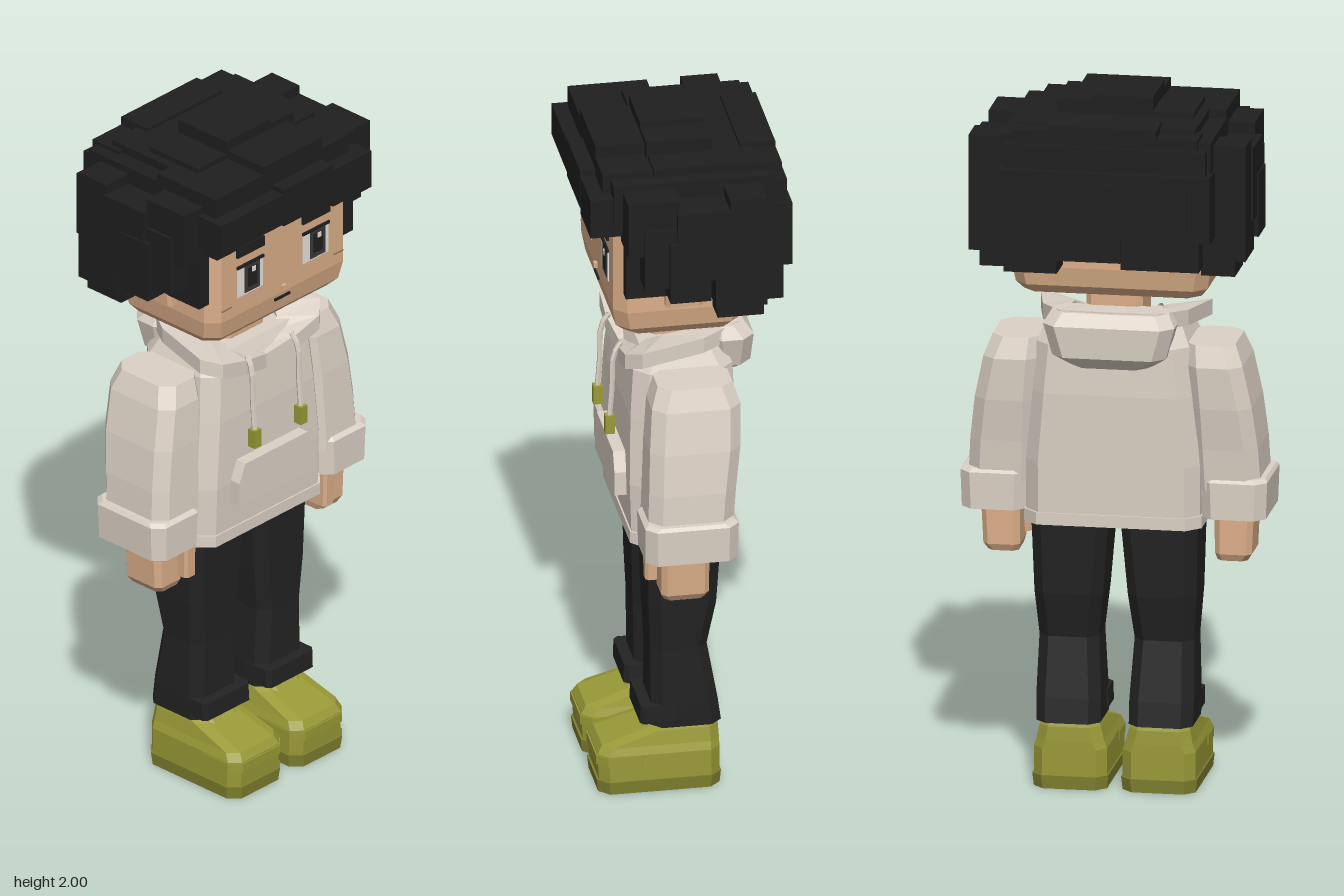
import * as THREE from 'three';

const mat = (name, color) => {
  const m = new THREE.MeshStandardMaterial({ color });
  m.name = name;
  m.flatShading = true;
  return m;
};

// Joins equal-length loops of [x, y, z] points into a faceted skin.
function skin(loops, closed = false) {
  const n = loops[0].length, pos = loops.flat(2), idx = [];
  const last = closed ? loops.length : loops.length - 1;
  for (let i = 0; i < last; i++) {
    const lo = i * n, up = ((i + 1) % loops.length) * n;
    for (let k = 0; k < n; k++) {
      const k2 = (k + 1) % n;
      idx.push(lo + k, lo + k2, up + k2, lo + k, up + k2, up + k);
    }
  }
  if (!closed) {
    const t = (loops.length - 1) * n;
    for (let k = 1; k < n - 1; k++) idx.push(0, k + 1, k, t, t + k, t + k + 1);
  }
  const g = new THREE.BufferGeometry();
  g.setAttribute('position', new THREE.Float32BufferAttribute(pos, 3));
  g.setIndex(idx);
  const flat = g.toNonIndexed();
  flat.computeVertexNormals();
  return flat;
}

// Stacked chamfered rectangles; rows are [y, x0, x1, z0, z1], s mirrors in x.
function loft(rows, c = 0.03, s = 1) {
  return skin(rows.map(([y, a, b, z0, z1]) => {
    const x0 = s > 0 ? a : -b, x1 = s > 0 ? b : -a;
    return [[x0 + c, y, z1], [x1 - c, y, z1], [x1, y, z1 - c], [x1, y, z0 + c],
      [x1 - c, y, z0], [x0 + c, y, z0], [x0, y, z0 + c], [x0, y, z1 - c]];
  }));
}

function block(x0, x1, y0, y1, z0, z1) {
  return new THREE.BoxGeometry(x1 - x0, y1 - y0, z1 - z0)
    .translate((x0 + x1) / 2, (y0 + y1) / 2, (z0 + z1) / 2);
}

export function createModel() {
  const root = new THREE.Group();
  root.name = 'blockyFigure';
  const skinTone = mat('skin', 0xdbae88), cloth = mat('hoodie', 0xdcd1c5);
  const hairMat = mat('hair', 0x1f1f1f), pants = mat('trousers', 0x232324);
  const olive = mat('oliveShoe', 0x9a9a38), sole = mat('sole', 0x828230);
  const white = mat('eyeWhite', 0xe6e2de), iris = mat('iris', 0x3a3838);
  const line = mat('faceLine', 0x9a7458);
  const add = (name, geo, material, parent = root) => {
    const m = new THREE.Mesh(geo, material);
    m.name = name;
    parent.add(m);
    return m;
  };

  // Head and neck
  add('head', loft([[1.44, -0.25, 0.25, -0.13, 0.18], [1.465, -0.27, 0.27, -0.15, 0.205],
    [1.52, -0.28, 0.28, -0.16, 0.215], [1.86, -0.28, 0.28, -0.16, 0.215]], 0.035), skinTone);
  add('neck', loft([[1.3, -0.08, 0.08, -0.08, 0.08], [1.47, -0.08, 0.08, -0.08, 0.08]], 0.015), skinTone);
  add('nose', block(-0.008, 0.008, 1.53, 1.545, 0.21, 0.225), skinTone);
  add('mouth', block(-0.032, 0.03, 1.503, 1.51, 0.213, 0.218), hairMat);

  // Face details, pupils looking slightly to one side
  for (const s of [-1, 1]) {
    const cx = s * 0.132, px = cx + 0.008;
    add('eyeWhite', block(cx - 0.052, cx + 0.052, 1.575, 1.67, 0.212, 0.217), white);
    add('iris', block(px - 0.03, px + 0.03, 1.58, 1.665, 0.213, 0.219), iris);
    add('pupil', block(px - 0.018, px + 0.018, 1.595, 1.655, 0.214, 0.221), hairMat);
    add('eyeGlint', block(px - 0.004, px + 0.01, 1.64, 1.655, 0.215, 0.223), white);
    add('upperLid', block(cx - 0.054, cx + 0.054, 1.666, 1.674, 0.213, 0.221), hairMat);
    add('eyebrow', block(cx - 0.055, cx + 0.055, 1.703, 1.733, 0.21, 0.222), hairMat);
    add('cheekMark', block(s * 0.225 - 0.02, s * 0.225 + 0.02, 1.553, 1.557, 0.213, 0.217), line);
    add('ear', loft([[1.54, 0.26, 0.305, -0.03, 0.075], [1.68, 0.26, 0.315, -0.03, 0.075]], 0.01, s), skinTone);
  }

  // Hair built from overlapping blocks: [x0, x1, y0, y1, z0, z1]
  const hair = new THREE.Group();
  hair.name = 'hair';
  root.add(hair);
  const crown = [
    [-0.3, 0.29, 1.8, 1.92, -0.24, 0.22], [-0.28, 0.27, 1.68, 1.9, -0.25, -0.1],
    [-0.225, -0.1, 1.85, 1.96, -0.08, 0.105], [-0.11, 0.065, 1.85, 2.0, -0.08, 0.105],
    [0.065, 0.16, 1.85, 1.985, -0.08, 0.105], [-0.3, -0.105, 1.85, 1.945, 0.02, 0.243],
    [-0.105, 0.13, 1.83, 1.97, 0.08, 0.243], [0.13, 0.24, 1.83, 1.935, -0.025, 0.243],
    [-0.265, -0.15, 1.85, 1.93, -0.26, -0.16], [-0.15, 0.155, 1.83, 1.955, -0.26, -0.16],
    [0.155, 0.255, 1.83, 1.94, -0.26, -0.1], [-0.25, 0.25, 1.85, 1.945, -0.2, 0.1],
  ];
  const fringe = [
    [-0.32, -0.07, 1.79, 1.885, 0.15, 0.285], [-0.07, 0.13, 1.785, 1.9, 0.14, 0.287],
    [0.13, 0.285, 1.765, 1.88, 0.14, 0.285], [-0.3, -0.2, 1.755, 1.83, 0.15, 0.25],
    [0.05, 0.16, 1.775, 1.85, 0.17, 0.25],
  ];
  const backHair = [
    [-0.305, 0.295, 1.64, 1.83, -0.283, -0.14], [-0.24, 0.135, 1.68, 1.8, -0.29, -0.2],
    [-0.27, -0.05, 1.55, 1.7, -0.262, -0.14], [-0.05, 0.13, 1.57, 1.7, -0.27, -0.14],
    [0.13, 0.28, 1.53, 1.7, -0.26, -0.13], [-0.29, 0.28, 1.8, 1.9, -0.27, -0.15],
  ];
  const sideHair = [
    [0.26, 0.375, 1.74, 1.905, 0.05, 0.195], [0.27, 0.395, 1.66, 1.87, -0.1, 0.058],
    [0.265, 0.39, 1.57, 1.82, -0.195, -0.05], [0.27, 0.39, 1.8, 1.9, -0.195, -0.09],
    [0.27, 0.4, 1.6, 1.78, -0.035, 0.08], [0.27, 0.385, 1.64, 1.82, 0.04, 0.15],
    [0.265, 0.31, 1.58, 1.78, 0.07, 0.19], [0.265, 0.36, 1.525, 1.66, -0.19, -0.06],
  ];
  for (const b of [...crown, ...fringe, ...backHair]) add('hairBlock', block(...b), hairMat, hair);
  for (const [a, b, ...r] of sideHair) {
    add('sideHairBlock', block(a, b, ...r), hairMat, hair);
    add('sideHairBlock', block(-b, -a, ...r), hairMat, hair);
  }

  // Hoodie body with hem and front pocket
  add('hoodieBody', loft([[0.79, -0.245, 0.245, -0.13, 0.155], [0.95, -0.245, 0.245, -0.135, 0.16],
    [1.15, -0.228, 0.228, -0.14, 0.155], [1.29, -0.215, 0.215, -0.135, 0.145],
    [1.345, -0.19, 0.19, -0.11, 0.12]], 0.04), cloth);
  add('hoodieHem', loft([[0.77, -0.25, 0.25, -0.135, 0.16], [0.805, -0.25, 0.25, -0.135, 0.16]], 0.04), cloth);
  const pocketShape = new THREE.Shape([[-0.15, 0.89], [0.15, 0.89], [0.15, 0.96], [0.125, 1.015],
    [-0.125, 1.015], [-0.15, 0.96]].map(p => new THREE.Vector2(...p)));
  add('pocket', new THREE.ExtrudeGeometry(pocketShape, { depth: 0.045, bevelEnabled: false })
    .translate(0, 0, 0.148), cloth);

  // Hood collar: a flat band swept round the neck, rising to the back
  const half = [[0, 1.30, 0.155, 0, 0.1], [0.1, 1.325, 0.172, 0.07, 0.105], [0.195, 1.35, 0.172, 0.11, 0.09],
    [0.242, 1.37, 0.13, 0.13, 0.05], [0.205, 1.385, -0.05, 0.13, -0.06],
    [0.14, 1.398, -0.16, 0.09, -0.1], [0, 1.4, -0.17, 0, -0.1]];
  const ring = [...half, ...half.slice(1, -1).reverse().map(([x, y, z, ix, iz]) => [-x, y, z, -ix, iz])];
  add('hoodCollar', skin(ring.map(([x, y, z, ix, iz]) =>
    [[x, y - 0.045, z], [ix, y - 0.045, iz], [ix, y, iz], [x, y, z]]), true), cloth)
    .material.side = THREE.DoubleSide;
  add('hoodSack', loft([[1.235, -0.11, 0.11, -0.165, -0.08], [1.27, -0.16, 0.16, -0.195, -0.08],
    [1.36, -0.185, 0.185, -0.2, -0.07], [1.395, -0.165, 0.165, -0.175, -0.07]], 0.035), cloth);

  for (const s of [-1, 1]) {
    // Drawstrings with tips
    const cord = new THREE.CatmullRomCurve3([[0.09, 1.335, 0.165], [0.093, 1.3, 0.185],
      [0.093, 1.2, 0.19], [0.093, 1.11, 0.197]].map(([x, y, z]) => new THREE.Vector3(s * x, y, z)));
    add('drawstring', new THREE.TubeGeometry(cord, 8, 0.008, 6), cloth);
    add('drawstringTip', block(s * 0.093 - 0.013, s * 0.093 + 0.013, 1.06, 1.115, 0.184, 0.21), olive);

    // Arm, cuff and hand
    add('sleeve', loft([[0.88, 0.225, 0.412, -0.1, 0.14], [1.0, 0.22, 0.405, -0.11, 0.135],
      [1.12, 0.215, 0.39, -0.125, 0.13], [1.24, 0.205, 0.365, -0.13, 0.12],
      [1.3, 0.2, 0.342, -0.11, 0.1]], 0.035, s), cloth);
    add('cuff', loft([[0.8, 0.248, 0.428, -0.11, 0.15], [0.905, 0.245, 0.432, -0.112, 0.152],
      [0.915, 0.25, 0.425, -0.1, 0.14]], 0.03, s), cloth);
    add('hand', loft([[0.66, 0.28, 0.365, -0.025, 0.09], [0.68, 0.275, 0.378, -0.035, 0.1],
      [0.82, 0.275, 0.385, -0.035, 0.1]], 0.015, s), skinTone);
    add('thumb', loft([[0.695, 0.258, 0.3, 0.06, 0.132], [0.81, 0.258, 0.305, 0.05, 0.135]], 0.008, s), skinTone);

    // Trouser leg with turned-up front
    add('trouserLeg', loft([[0.19, 0.04, 0.22, -0.1, 0.1], [0.26, 0.04, 0.222, -0.09, 0.098],
      [0.43, 0.05, 0.218, -0.06, 0.1], [0.56, 0.035, 0.228, -0.085, 0.105],
      [0.8, 0.015, 0.235, -0.1, 0.11]], 0.03, s), pants);
    add('trouserFold', loft([[0.207, 0.034, 0.222, 0.02, 0.132], [0.26, 0.036, 0.222, 0.02, 0.13]], 0.012, s), pants);

    // Shoe on a slightly wider sole
    add('sole', loft([[0, 0.022, 0.228, -0.095, 0.248], [0.038, 0.018, 0.232, -0.098, 0.252]], 0.03, s), sole);
    add('shoe', loft([[0.038, 0.022, 0.228, -0.094, 0.246], [0.115, 0.022, 0.228, -0.094, 0.25],
      [0.138, 0.03, 0.22, -0.094, 0.236], [0.178, 0.04, 0.212, -0.092, 0.11],
      [0.196, 0.046, 0.206, -0.086, 0.07]], 0.028, s), olive);
    add('toeBand', loft([[0.085, 0.02, 0.23, 0.1, 0.254], [0.112, 0.02, 0.23, 0.1, 0.254]], 0.03, s), olive);
    add('tongue', loft([[0.13, 0.075, 0.18, 0, 0.16], [0.202, 0.075, 0.18, 0, 0.095]], 0.01, s), olive);
  }
  return root;
}
